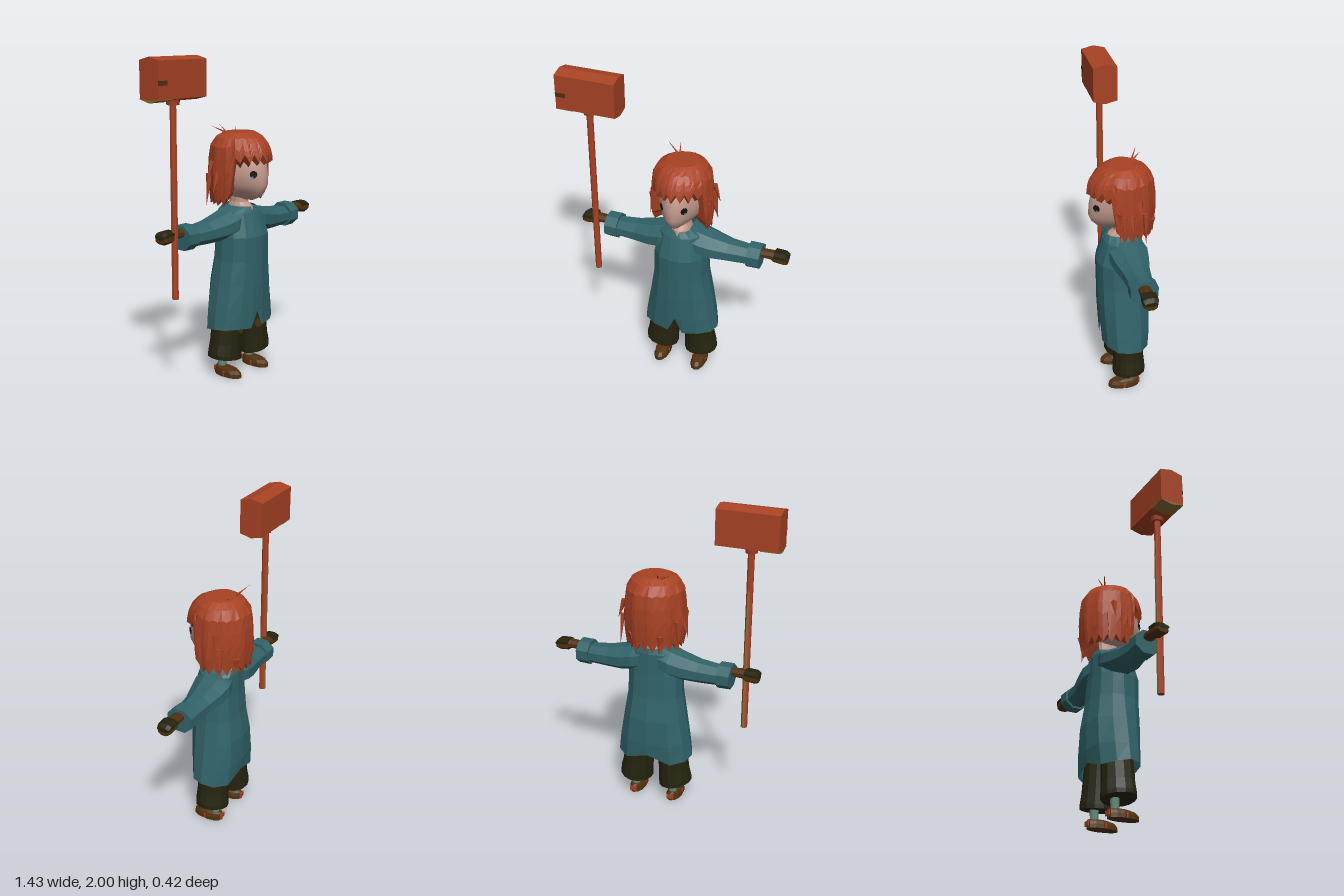
import * as THREE from 'three';

const mat = (name, color, side = THREE.FrontSide) => {
  const m = new THREE.MeshStandardMaterial({ color, side });
  m.name = name;
  return m;
};
const V = (x, y, z) => new THREE.Vector3(x, y, z);
const { lerp, smoothstep } = THREE.MathUtils;

// Skin over a list of equal rings; s = -1 mirrors the part in x
function loft(rings, { s = 1, caps = true, smooth = false } = {}) {
  const n = rings[0].length, pos = [], idx = [];
  const rs = rings.map(r => {
    const q = r.map(p => V(p.x * s, p.y, p.z));
    return s < 0 ? q.reverse() : q;
  });
  rs.forEach(r => r.forEach(p => pos.push(p.x, p.y, p.z)));
  for (let i = 0; i < rs.length - 1; i++) for (let j = 0; j < n; j++) {
    const k = (j + 1) % n, a = i * n + j, b = i * n + k, c = a + n, d = b + n;
    idx.push(a, c, b, c, d, b);
  }
  if (caps) [0, rs.length - 1].forEach(i => {
    const c = rs[i].reduce((t, p) => t.add(p), V(0, 0, 0)).divideScalar(n);
    const m = pos.length / 3;
    pos.push(c.x, c.y, c.z);
    for (let j = 0; j < n; j++) {
      const a = i * n + j, b = i * n + (j + 1) % n;
      idx.push(m, ...(i ? [b, a] : [a, b]));
    }
  });
  let g = new THREE.BufferGeometry();
  g.setAttribute('position', new THREE.Float32BufferAttribute(pos, 3));
  g.setIndex(idx);
  if (!smooth) g = g.toNonIndexed();
  g.computeVertexNormals();
  return g;
}

// Point on a horizontal oval with its own front and back depth
const ovalPoint = (a, y, hw, zf, zb, p = 1, cx = 0) => {
  const c = Math.cos(a);
  return V(cx + hw * Math.sin(a), y, c > 0 ? zf * c ** p : -zb * c);
};
const oval = (n, y, hw, zf, zb, p = 1, cx = 0) =>
  Array.from({ length: n }, (_, j) => ovalPoint(j / n * Math.PI * 2, y, hw, zf, zb, p, cx));

// Octagonal ring standing across the x axis
const armRing = ([x, y0, y1, z0, z1]) => Array.from({ length: 8 }, (_, j) => {
  const a = (j + 0.5) / 8 * Math.PI * 2;
  return V(x, (y0 + y1) / 2 + (y1 - y0) / 2 * Math.sin(a) * 1.08, (z0 + z1) / 2 + (z1 - z0) / 2 * Math.cos(a) * 1.08);
});

export function createModel() {
  const rust = mat('rust', 0xa84224, THREE.DoubleSide);
  const teal = mat('teal', 0x316369, THREE.DoubleSide);
  const olive = mat('dark olive', 0x25230f);
  const skin = mat('skin', 0xc0978a);
  const brown = mat('brown', 0x50310f);
  const ochre = mat('ochre', 0x8c6c38);
  const sock = mat('sage', 0x668c7c);
  const black = mat('black', 0x17130d);
  const blue = mat('blue', 0x2f8aa4);

  const root = new THREE.Group();
  root.name = 'hammerCarrier';
  const body = new THREE.Group();
  body.name = 'figure';
  body.position.x = 0.045;
  root.add(body);
  const add = (name, geo, m, x = 0, y = 0, z = 0, parent = body) => {
    const mesh = new THREE.Mesh(geo, m);
    mesh.name = name;
    mesh.position.set(x, y, z);
    parent.add(mesh);
    return mesh;
  };
  // Tapered wisp between two points
  const wisp = (name, a, b, r) => {
    const d = b.clone().sub(a), mid = a.clone().add(b).multiplyScalar(0.5);
    const m = add(name, new THREE.ConeGeometry(r, d.length(), 4).toNonIndexed(), rust, mid.x, mid.y, mid.z);
    m.geometry.computeVertexNormals();
    m.quaternion.setFromUnitVectors(V(0, 1, 0), d.normalize());
  };

  // Head and neck
  add('head', loft([
    [1.48, 0.08, 0.08, -0.08], [1.42, 0.135, 0.145, -0.12], [1.35, 0.155, 0.185, -0.13],
    [1.28, 0.155, 0.2, -0.13], [1.22, 0.14, 0.203, -0.12], [1.175, 0.105, 0.185, -0.1],
    [1.14, 0.06, 0.15, -0.07], [1.118, 0.025, 0.1, -0.04]
  ].map(r => oval(32, ...r, 2)), { smooth: true }), skin);
  add('neck', loft([[1.2, 0.04, 0.045, -0.08], [1.1, 0.045, 0.05, -0.085], [1.075, 0.055, 0.085, -0.09], [1.03, 0.07, 0.1, -0.1]]
    .map(r => oval(12, ...r))), skin);

  // Eyes
  for (const s of [-1, 1]) {
    const eye = new THREE.Group();
    eye.name = s > 0 ? 'leftEye' : 'rightEye';
    eye.position.set(s * 0.067, 1.29, 0.163);
    eye.rotation.y = s * 0.84;
    body.add(eye);
    add('pupil', new THREE.CircleGeometry(0.023, 10), black, 0, 0, 0.005, eye);
    add('glint', new THREE.CircleGeometry(0.008, 6), blue, s * 0.006, -0.017, 0.008, eye);
  }

  // Hair shell with a jagged fringe, open at the face
  const profile = [[1.53, 0.1, 0.08, -0.1], [1.505, 0.145, 0.135, -0.15], [1.45, 0.178, 0.185, -0.188],
    [1.38, 0.185, 0.208, -0.2], [1.25, 0.195, 0.21, -0.205], [1.06, 0.175, 0.19, -0.185]];
  const sizeAt = y => {
    const i = Math.min(profile.length - 2, Math.max(0, profile.findIndex(p => p[0] <= y) - 1));
    const a = profile[i], b = profile[i + 1], t = (a[0] - y) / (a[0] - b[0]);
    return [1, 2, 3].map(k => lerp(a[k], b[k], t));
  };
  const cols = 44, drop = [0, 0.07, 0.2, 0.4, 0.6, 0.8, 1];
  add('hair', loft(drop.map((f, row) => Array.from({ length: cols }, (_, j) => {
    const a = j / cols * Math.PI * 2, t = Math.min(a, Math.PI * 2 - a);
    const edge = lerp(1.38, 1.11, smoothstep(t, 0.95, 1.25)) + (j % 2 ? 0.03 : -0.02);
    const y = lerp(1.53, edge, f), ridge = 1 + (row > 1 ? 0.018 * Math.cos(j * 1.6) : 0);
    const [hw, zf, zb] = sizeAt(y);
    return ovalPoint(a, y, hw * ridge, zf * ridge, zb * ridge, 1.25);
  }))), rust).geometry.deleteAttribute('uv');
  for (const s of [-1, 1]) {
    [[0.03, 1.32, 0.2, 1.13], [-0.02, 1.3, 0.22, 1.16], [-0.07, 1.36, 0.215, 1.24], [-0.1, 1.28, 0.19, 1.08], [0.05, 1.3, 0.165, 1.1]]
      .forEach(([z, y0, x1, y1]) => wisp('sideLock', V(s * 0.175, y0, z), V(s * x1, y1, z - 0.01), 0.02));
    wisp('napeLock', V(s * 0.09, 1.2, -0.16), V(s * 0.08, 1.07, -0.15), 0.03);
  }
  wisp('crownWisp', V(-0.03, 1.51, -0.06), V(-0.14, 1.57, -0.12), 0.009);
  wisp('crownWisp', V(-0.04, 1.51, -0.06), V(-0.06, 1.575, -0.13), 0.009);
  wisp('crownWisp', V(0.01, 1.51, -0.05), V(0.05, 1.55, -0.09), 0.008);

  // Coat with a front slit and uneven hem
  const half = [[0, 1], [0.2, 0.99], [0.6, 0.86], [0.9, 0.5], [1, 0], [0.92, -0.5], [0.6, -0.9], [0, -1]];
  const section = [...half, ...half.slice(1, -1).reverse().map(([x, z]) => [-x, z])];
  const hemY = [0.422, 0.315, 0.325, 0.325, 0.325, 0.31, 0.3, 0.35];
  add('coat', loft([
    [1.08, 0.075, 0.095, -0.115], [1.045, 0.14, 0.115, -0.125], [0.9, 0.17, 0.16, -0.128], [0.75, 0.175, 0.157, -0.14],
    [0.6, 0.2, 0.155, -0.163], [0.43, 0.23, 0.145, -0.165], [0.32, 0.246, 0.137, -0.155]
  ].map(([y, hw, zf, zb], i) => section.map(([x, z], j) => {
    const py = i === 6 ? hemY[j < 8 ? j : 14 - j] : i === 0 && j === 0 ? 1.045 : y;
    return V(x * hw, py, z > 0 ? z * zf : -z * zb);
  })), { caps: false }), teal);

  for (const s of [-1, 1]) {
    const side = s > 0 ? 'left' : 'right';
    const arm = (name, rings, m) => add(side + name, loft(rings.map(armRing), { s }), m);
    // Sleeves, cuffs and gloved hands
    arm('Sleeve', [[0.06, 0.91, 1.072, -0.12, 0.09], [0.12, 0.9, 1.058, -0.135, 0.1], [0.2, 0.885, 1.035, -0.125, 0.085],
      [0.3, 0.882, 1.012, -0.105, 0.06], [0.43, 0.886, 1.0, -0.092, 0.045]], teal);
    arm('Cuff', [[0.425, 0.872, 1.02, -0.105, 0.058], [0.505, 0.875, 1.02, -0.105, 0.058]], teal);
    arm('Hand', [[0.5, 0.955, 1.0, -0.055, 0.015], [0.57, 0.95, 1.005, -0.055, 0.015], [0.59, 0.938, 1.004, -0.062, 0.022],
      [0.65, 0.932, 1.0, -0.062, 0.022], [0.67, 0.94, 0.985, -0.055, 0.015]], brown);
    arm('Knuckles', [[0.585, 0.975, 1.01, -0.066, 0.024], [0.65, 0.97, 1.008, -0.066, 0.024], [0.672, 0.965, 0.99, -0.058, 0.018]], olive);

    // Wide trousers with knee patches
    const legRings = [[0.45, 0.1, 0.09, 0.075, -0.11], [0.33, 0.115, 0.095, 0.08, -0.115], [0.22, 0.125, 0.1, 0.08, -0.118],
      [0.14, 0.134, 0.107, 0.085, -0.125], [0.115, 0.135, 0.106, 0.085, -0.125]];
    add(side + 'TrouserLeg', loft(legRings.map(([y, cx, hw, zf, zb], i) => oval(14, y, hw, zf, zb, 1, cx)
      .map(p => V(p.x, p.y + (i > 2 ? (p.x - cx) * 0.14 : 0), p.z))), { s }), olive);
    const patch = add(side + 'KneePatch', new THREE.CylinderGeometry(0.03, 0.03, 0.008, 8), brown, s * 0.085, 0.305, 0.078);
    patch.rotation.set(Math.PI / 2, 0, s * 0.25);

    // Socks and shoes
    add(side + 'Sock', new THREE.CylinderGeometry(0.03, 0.026, 0.12, 8), sock, s * 0.13, 0.1, -0.04);
    add(side + 'Shoe', loft([[0.055, 0.028, 0.035, -0.08], [0.045, 0.04, 0.09, -0.088], [0.025, 0.048, 0.112, -0.09], [0, 0.05, 0.115, -0.09]]
      .map(r => oval(12, ...r, 0.8, 0.13)), { s }), brown);
    add(side + 'ShoeHeelPatch', new THREE.BoxGeometry(0.045, 0.03, 0.008), rust, s * 0.13, 0.028, -0.087);
    add(side + 'ShoeStrap', new THREE.BoxGeometry(0.098, 0.035, 0.009), rust, s * 0.13, 0.018, 0.015);
  }

  // Long-handled mallet
  const mallet = new THREE.Group();
  mallet.name = 'mallet';
  mallet.position.set(-0.535, 0, 0.01);
  root.add(mallet);
  const bar = (x0, x1, pts) => loft([x0, x1].map(x => pts.map(([z, y]) => V(x, y, z))));
  add('malletHead', bar(-0.178, 0.195, [[0.075, 1.77], [0.075, 1.982], [0, 2], [-0.075, 1.982], [-0.075, 1.77], [0, 1.752]]),
    rust, 0, 0, 0, mallet);
  add('malletWornEdge', bar(-0.179, -0.07, [[0.075, 1.772], [0, 1.754], [-0.075, 1.772], [-0.075, 1.767], [0, 1.749], [0.075, 1.767]]),
    ochre, 0, 0, 0, mallet);
  add('malletNotch', new THREE.BoxGeometry(0.065, 0.026, 0.006), brown, -0.146, 1.86, 0.074, mallet);
  add('malletCollar', new THREE.CylinderGeometry(0.042, 0.036, 0.04, 8), rust, 0, 1.75, 0, mallet);
  const handle = new THREE.CylinderGeometry(0.02, 0.02, 1.15, 8).toNonIndexed();
  handle.computeVertexNormals();
  add('malletHandle', handle, rust, 0, 1.175, 0, mallet).rotation.y = Math.PI / 8;
  add('malletWornStrip', new THREE.BoxGeometry(0.016, 0.9, 0.005), ochre, 0, 1.05, -0.018, mallet);

  return root;
}
